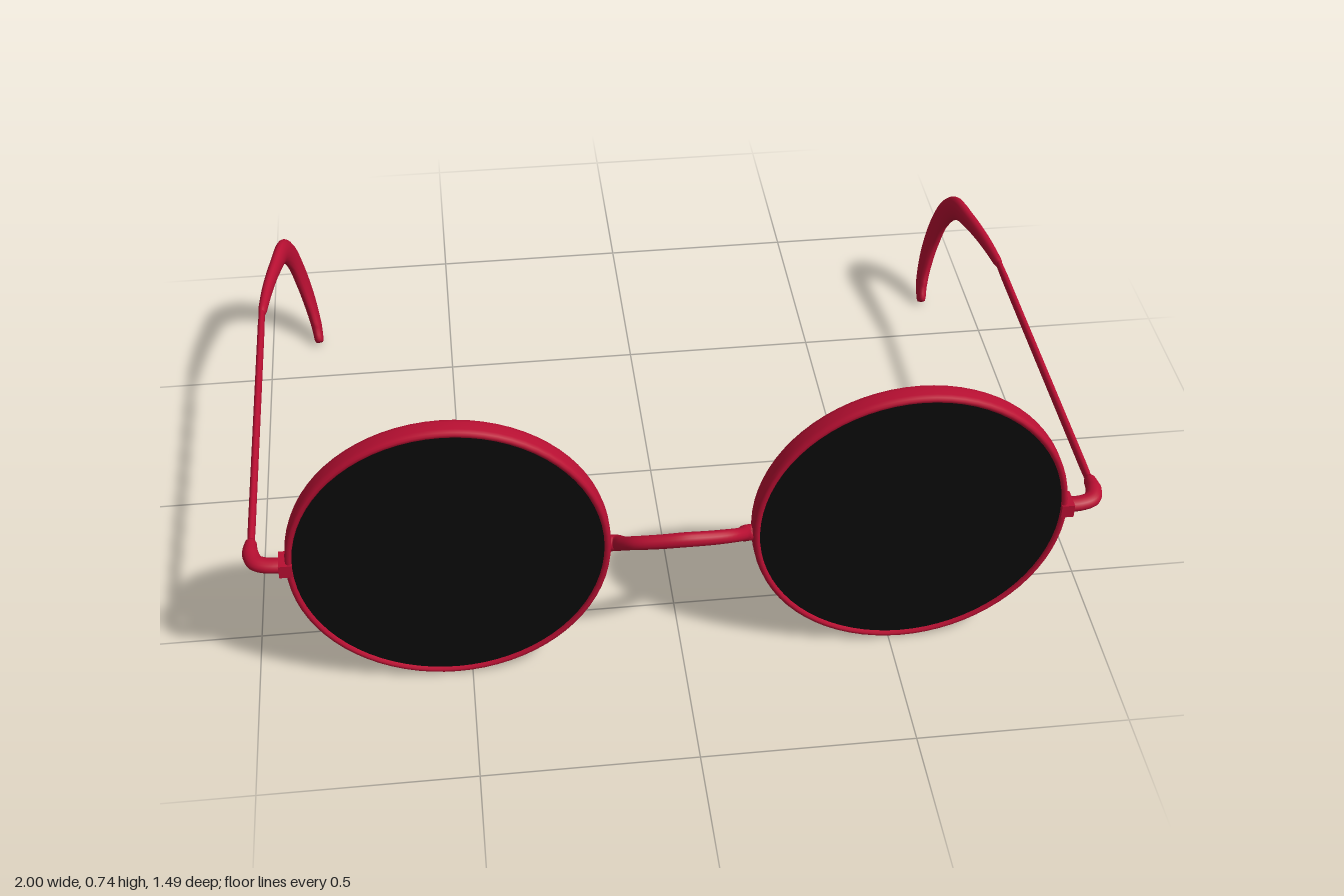
import * as THREE from 'three';

const RED = new THREE.MeshStandardMaterial({ color: 0xb80f32 });
const BLACK = new THREE.MeshStandardMaterial({ color: 0x0a0a0a });
const LENS_Y = 0.377, LENS_Z = 0.65, SHIFT = -0.003;

// Sweeps an ellipse along a spline. Each station is [x, y, z, radiusAlongRef, radiusAcross].
function sweep(stations, ref, steps, sides = 16) {
  const curve = new THREE.CatmullRomCurve3(stations.map(([x, y, z]) => new THREE.Vector3(x, y, z)), false, 'centripetal');
  const last = stations.length - 1;
  const rings = [[0, 0], [0, 0.6], [0.003, 0.85]];
  for (let i = 1; i < steps; i++) rings.push([i / steps, 1]);
  rings.push([0.997, 0.85], [1, 0.6], [1, 0]);
  const pos = [], index = [];
  rings.forEach(([t, k], i) => {
    const c = curve.getPoint(t), T = curve.getTangent(t);
    const V = new THREE.Vector3().crossVectors(T, ref).normalize();
    const U = new THREE.Vector3().crossVectors(V, T);
    const s = Math.min(Math.floor(t * last), last - 1), f = t * last - s;
    const ru = k * THREE.MathUtils.lerp(stations[s][3], stations[s + 1][3], f);
    const rv = k * THREE.MathUtils.lerp(stations[s][4], stations[s + 1][4], f);
    for (let j = 0; j < sides; j++) {
      const a = (j / sides) * Math.PI * 2;
      const p = c.clone().addScaledVector(U, ru * Math.cos(a)).addScaledVector(V, rv * Math.sin(a));
      pos.push(p.x, p.y, p.z);
      if (i < rings.length - 1) {
        const n = (j + 1) % sides, a0 = i * sides + j, b0 = i * sides + n;
        index.push(a0, b0, a0 + sides, b0, b0 + sides, a0 + sides);
      }
    }
  });
  const g = new THREE.BufferGeometry();
  g.setAttribute('position', new THREE.Float32BufferAttribute(pos, 3));
  g.setIndex(index);
  g.computeVertexNormals();
  return g;
}

function add(parent, name, geometry, material) {
  const mesh = new THREE.Mesh(geometry, material);
  mesh.name = name;
  parent.add(mesh);
  return mesh;
}

export function createModel() {
  const model = new THREE.Group();
  model.name = 'roundSunglasses';
  const X = new THREE.Vector3(1, 0, 0), Y = new THREE.Vector3(0, 1, 0);

  // Rim section: outer wall, front edge, inner wall, back edge
  const rimProfile = [
    [0.363, -0.026], [0.367, -0.022], [0.369, -0.012], [0.369, 0.012], [0.367, 0.022], [0.363, 0.026],
    [0.357, 0.026], [0.353, 0.022], [0.353, -0.022], [0.357, -0.026], [0.363, -0.026],
  ].map(([r, y]) => new THREE.Vector2(r, y));
  const rimGeo = new THREE.LatheGeometry(rimProfile, 72).rotateX(Math.PI / 2);
  const lensGeo = new THREE.CylinderGeometry(0.356, 0.356, 0.038, 72).rotateX(Math.PI / 2);

  for (const s of [1, -1]) {
    const side = new THREE.Group();
    side.name = s > 0 ? 'leftSide' : 'rightSide';
    side.position.x = SHIFT;
    model.add(side);
    const mirrored = (list) => list.map(([x, ...rest]) => [s * x, ...rest]);

    // Lens and rim
    add(side, 'rim', rimGeo, RED).position.set(s * 0.532, LENS_Y, LENS_Z);
    add(side, 'lens', lensGeo, BLACK).position.set(s * 0.532, LENS_Y, LENS_Z);

    // Block on the rim and the elbow that turns back to the temple
    add(side, 'rimBlock', new THREE.BoxGeometry(0.03, 0.034, 0.052), RED).position.set(s * 0.9, 0.378, 0.654);
    add(side, 'hinge', sweep(mirrored([
      [0.89, 0.378, 0.655, 0.016, 0.021], [0.94, 0.379, 0.654, 0.016, 0.02],
      [0.967, 0.379, 0.642, 0.017, 0.02], [0.98, 0.378, 0.61, 0.019, 0.019],
      [0.98, 0.376, 0.57, 0.017, 0.013],
    ]), Y, 24), RED);

    // Slim straight temple
    add(side, 'temple', sweep(mirrored([
      [0.98, 0.375, 0.6, 0.009, 0.013], [0.98, 0.375, 0.15, 0.009, 0.013], [0.98, 0.375, -0.33, 0.009, 0.013],
    ]), X, 12), RED);

    // Thicker ear piece hooking down and inward
    add(side, 'earPiece', sweep(mirrored([
      [0.98, 0.375, -0.31, 0.011, 0.014], [0.968, 0.374, -0.42, 0.014, 0.019],
      [0.95, 0.369, -0.53, 0.016, 0.025], [0.934, 0.352, -0.62, 0.018, 0.033],
      [0.918, 0.29, -0.68, 0.018, 0.037], [0.901, 0.2, -0.707, 0.018, 0.039],
      [0.885, 0.12, -0.703, 0.017, 0.039], [0.872, 0.055, -0.677, 0.015, 0.033],
      [0.866, 0.018, -0.642, 0.012, 0.019],
    ]), X, 48), RED);
  }

  // Arched nose bridge, bowed up and forward
  const half = [
    [0.175, 0.362, 0.648, 0.02, 0.018], [0.15, 0.364, 0.652, 0.02, 0.018],
    [0.135, 0.385, 0.678, 0.016, 0.016], [0.108, 0.406, 0.703, 0.016, 0.016],
    [0.055, 0.42, 0.72, 0.017, 0.016],
  ];
  const bridge = [
    ...half.map(([x, ...r]) => [-x, ...r]), [0, 0.427, 0.727, 0.018, 0.016], ...half.slice().reverse(),
  ];
  add(model, 'bridge', sweep(bridge, Y, 50), RED).position.x = SHIFT;

  return model;
}
